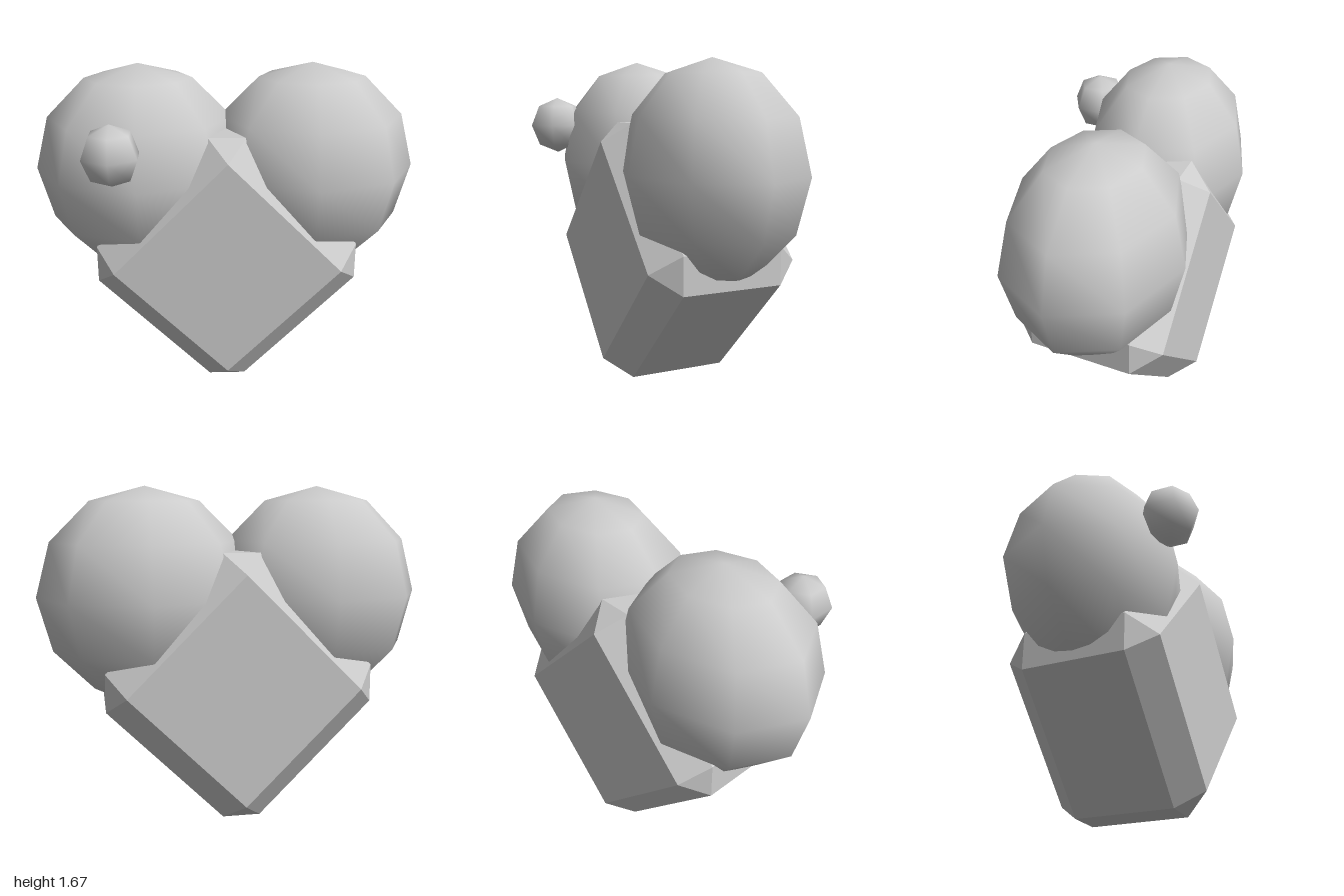
import * as THREE from 'three';
import { ConvexGeometry } from 'three/addons/geometries/ConvexGeometry.js';

// Box with every edge and corner cut off by the same chamfer
function chamferedBox(hx, hy, hz, c) {
  const points = [];
  for (const sx of [-1, 1]) for (const sy of [-1, 1]) for (const sz of [-1, 1]) {
    points.push(
      new THREE.Vector3(sx * hx, sy * (hy - c), sz * (hz - c)),
      new THREE.Vector3(sx * (hx - c), sy * hy, sz * (hz - c)),
      new THREE.Vector3(sx * (hx - c), sy * (hy - c), sz * hz)
    );
  }
  return new ConvexGeometry(points);
}

export function createModel() {
  const model = new THREE.Group();
  model.name = 'heart';

  const grey = new THREE.MeshStandardMaterial({ color: 0xcccccc });
  grey.name = 'light grey';

  const add = (name, geometry, x, y, z) => {
    const mesh = new THREE.Mesh(geometry, grey);
    mesh.name = name;
    mesh.position.set(x, y, z);
    model.add(mesh);
    return mesh;
  };

  // Lower body: chamfered block standing on one edge
  const body = add('body', chamferedBox(0.545, 0.545, 0.4, 0.135), 0, 0.677, -0.08);
  body.rotation.z = Math.PI / 4;

  // Two upper lobes, flattened front to back
  for (const side of [-1, 1]) {
    const lobe = add(side > 0 ? 'leftLobe' : 'rightLobe',
      new THREE.SphereGeometry(0.553, 8, 6), side * 0.447, 1.122, -0.08);
    lobe.scale.z = 0.8;
  }

  // Small ball on the front of the right lobe
  const ball = add('smallBall', new THREE.SphereGeometry(0.153, 6, 4), -0.557, 1.322, 0.366);
  ball.rotation.y = Math.PI / 2;

  return model;
}
